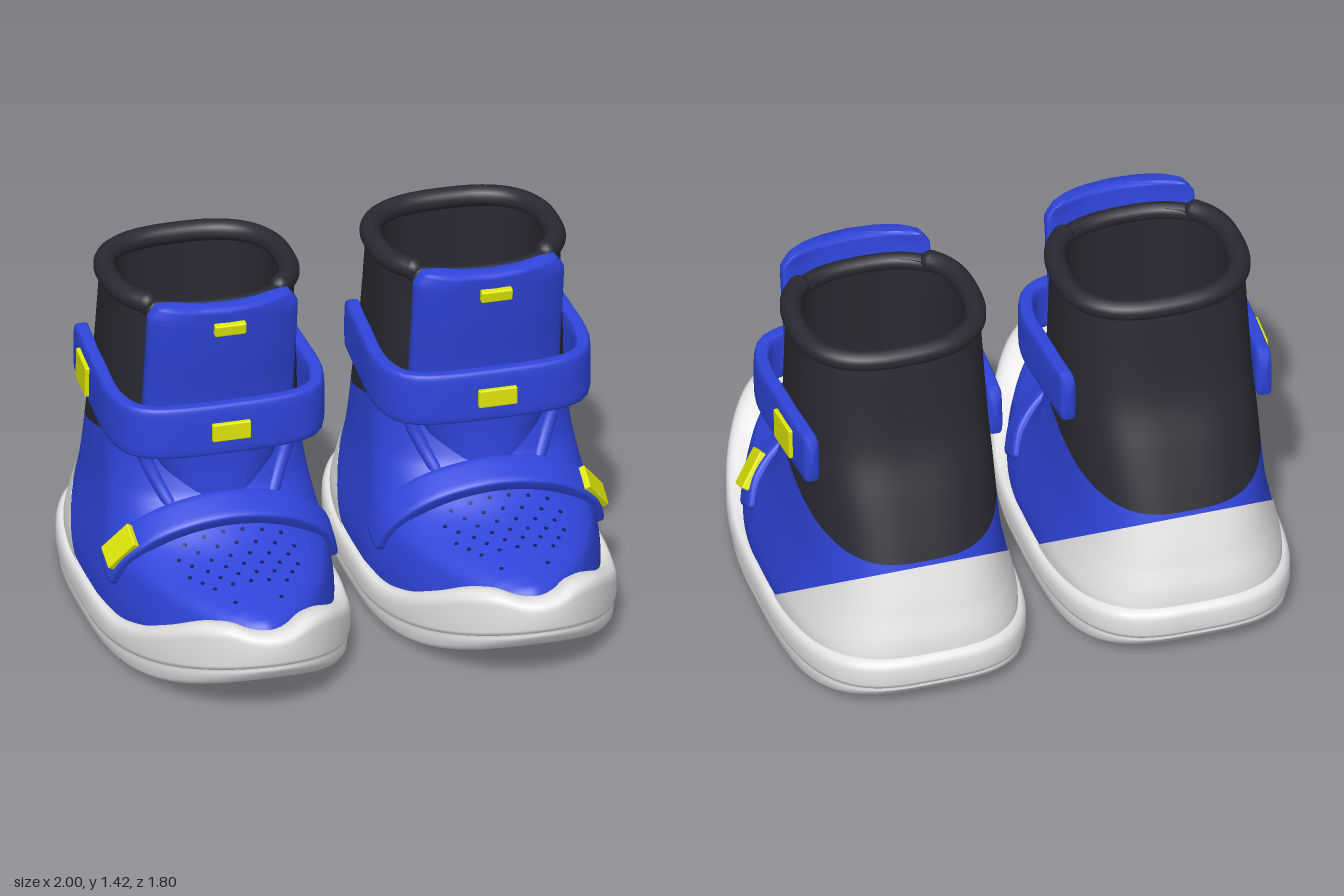
import * as THREE from 'three';
import { mergeGeometries } from 'three/addons/utils/BufferGeometryUtils.js';
import { RoundedBoxGeometry } from 'three/addons/geometries/RoundedBoxGeometry.js';

const V = (x, y, z) => new THREE.Vector3(x, y, z);
const spow = (v, p) => Math.sign(v) * Math.abs(v) ** p;

// Smooth monotone interpolation of a table whose first column is the key
function lookup(table, k) {
  k = THREE.MathUtils.clamp(k, table[0][0], table.at(-1)[0]);
  let i = 0;
  while (i < table.length - 2 && k > table[i + 1][0]) i++;
  const h = table[i + 1][0] - table[i][0], t = (k - table[i][0]) / h;
  return table[i].slice(1).map((_, n) => {
    const c = n + 1;
    const d = (j) => (table[j + 1][c] - table[j][c]) / (table[j + 1][0] - table[j][0]);
    const slope = (j) => {
      if (j === 0) return d(0);
      if (j === table.length - 1) return d(j - 1);
      const a = d(j - 1), b = d(j);
      return a * b > 0 ? (2 * a * b) / (a + b) : 0;
    };
    const t2 = t * t, t3 = t2 * t;
    return table[i][c] * (2 * t3 - 3 * t2 + 1) + table[i + 1][c] * (3 * t2 - 2 * t3)
      + h * (slope(i) * (t3 - 2 * t2 + t) + slope(i + 1) * (t3 - t2));
  });
}

// Surface grid: fn(row, column) gives a point; columns may wrap round
function grid(rows, cols, wrap, fn) {
  const n = wrap ? cols : cols + 1, pos = [], index = [];
  for (let i = 0; i <= rows; i++) for (let j = 0; j < n; j++) pos.push(...fn(i, j).toArray());
  for (let i = 0; i < rows; i++) for (let j = 0; j < cols; j++) {
    const a = i * n + j, b = i * n + ((j + 1) % n);
    index.push(a, b, b + n, a, b + n, a + n);
  }
  const g = new THREE.BufferGeometry();
  g.setAttribute('position', new THREE.Float32BufferAttribute(pos, 3));
  g.setIndex(index);
  g.computeVertexNormals();
  return g;
}

// Boot upper sections: y, back z, middle z, front z, half width, front and back roundness
const SECTIONS = [
  [0.05, -0.85, 0, 0.83, 0.445, 1.65, 3.2], [0.2, -0.86, 0, 0.84, 0.45, 1.62, 3.2],
  [0.3, -0.85, 0, 0.82, 0.437, 1.6, 3], [0.35, -0.83, 0, 0.78, 0.428, 1.6, 3],
  [0.39, -0.82, 0, 0.62, 0.42, 1.6, 3], [0.44, -0.805, -0.02, 0.42, 0.41, 1.65, 3],
  [0.5, -0.785, -0.06, 0.3, 0.4, 1.8, 3], [0.6, -0.75, -0.12, 0.17, 0.388, 2.1, 3],
  [0.8, -0.67, -0.2, 0.11, 0.372, 2.6, 3], [1.0, -0.59, -0.2, 0.12, 0.365, 2.7, 2.9],
  [1.37, -0.52, -0.2, 0.12, 0.355, 2.6, 2.6],
];
function oval(a, y, [zb, zm, zf, w, nf, nb]) {
  const c = Math.cos(a), p = 2 / (c > 0 ? nf : nb);
  return V(w * spow(Math.sin(a), p), y, zm + (c > 0 ? zf - zm : zm - zb) * spow(c, p));
}
const upper = (a, y) => oval(a, y, lookup(SECTIONS, y));

// Height at which the upper meets a boundary given as y = f(z)
function meet(a, f) {
  let lo = 0.06, hi = 1.37;
  for (let i = 0; i < 24; i++) {
    const m = (lo + hi) / 2;
    if (m < f(upper(a, m).z)) lo = m; else hi = m;
  }
  return lo;
}
function panel(lower, top, rows, a0 = 0, a1 = Math.PI * 2, cols = 112, scale = 1) {
  const angle = (j) => a0 + ((a1 - a0) * j) / cols;
  const ends = Array.from({ length: cols + 1 }, (_, j) => [meet(angle(j), lower), meet(angle(j), top)]);
  return grid(rows, cols, a1 - a0 > 6, (i, j) => {
    const p = upper(angle(j), THREE.MathUtils.lerp(...ends[j], i / rows));
    return V(p.x * scale, p.y, p.z * scale);
  });
}

// Point on top of the toe box at x, z
function toeTop(x, z) {
  let lo = 0.2, hi = 0.8;
  for (let i = 0; i < 20; i++) {
    const y = (lo + hi) / 2, [, zm, zf, w, nf] = lookup(SECTIONS, y);
    const inside = Math.abs(x / w) ** nf + Math.max(0, (z - zm) / (zf - zm)) ** nf < 1;
    if (inside) lo = y; else hi = y;
  }
  return V(x, lo, z);
}

// Rounded band swept along a path; the band's width runs along the "up" direction
function band(points, up, half, thick, bend = 0, cols = 32) {
  const curve = new THREE.CatmullRomCurve3(points.map((p) => V(...p)));
  const frame = (t) => {
    const T = curve.getTangentAt(t), U = up.clone().addScaledVector(T, -up.dot(T)).normalize();
    return { P: curve.getPointAt(t), T, U, N: U.clone().cross(T) };
  };
  const rows = 52;
  const geo = grid(rows, cols, true, (i, j) => {
    const t = [0, 0, 0.012][i] ?? [1, 1, 0.988][rows - i] ?? (i - 2) / (rows - 4);
    const s = [0.001, 0.86][Math.min(i, rows - i)] ?? 1;
    const { P, U, N } = frame(t), a = (j / cols) * Math.PI * 2;
    const u = s * spow(Math.sin(a), 0.4);
    return P.addScaledVector(U, half(t) * u).addScaledVector(N, thick * s * spow(Math.cos(a), 0.4) - bend * u * u);
  });
  // Small badge lying on the band
  const badge = (t, w, h) => {
    const { P, T, U, N } = frame(t);
    const m = new THREE.Matrix4().makeBasis(T.clone().negate(), U, N).setPosition(P.addScaledVector(N, thick));
    return new RoundedBoxGeometry(w, h, 0.03, 2, 0.006).applyMatrix4(m);
  };
  return { geo, badge };
}

// Sole heights along the length
const SOLE_TOP = [[-0.9, 0.225], [-0.6, 0.18], [-0.3, 0.155], [0.2, 0.155], [0.4, 0.19], [0.6, 0.265], [0.8, 0.35], [0.85, 0.358], [0.9, 0.33]];
const soleTop = (z) => lookup(SOLE_TOP, z)[0];
const soleBottom = (z) => (z > 0.1 ? 0.17 * ((z - 0.1) / 0.8) ** 2.5 : z < -0.5 ? 0.07 * ((z + 0.5) / -0.4) ** 2 : 0);
const groove = (z) => 0.05 + (z > 0 ? 0.155 : 0.05) * (z / 0.9) ** 2;
const SOLE_ROWS = [
  [0.001, soleBottom], [0.3, soleBottom], [0.6, soleBottom], [0.8, soleBottom], [0.92, soleBottom], [0.95, soleBottom],
  [0.975, (z) => soleBottom(z) + 0.012], [0.985, (z) => groove(z) - 0.006], [0.972, groove], [0.988, (z) => groove(z) + 0.006],
  [1, (z) => groove(z) + 0.025], [1, (z) => soleTop(z) - 0.035], [0.99, (z) => soleTop(z) - 0.012],
  [0.968, soleTop], [0.93, (z) => soleTop(z) + 0.003], [0.88, (z) => soleTop(z) - 0.01], [0.74, (z) => soleTop(z) - 0.06],
];

function bootParts() {
  const mat = (name, color, side = THREE.FrontSide) => Object.assign(new THREE.MeshStandardMaterial({ color, side }), { name });
  const blue = mat('blue', 0x2f45da), black = mat('black', 0x292a32, THREE.DoubleSide), grey = mat('light grey', 0xe6e6e6);
  const yellow = mat('yellow', 0xe4ec08), navy = mat('navy', 0x141a55), tread = mat('tread grey', 0x6a6a6a);
  const parts = [], add = (name, geo, m) => parts.push([name, geo, m]);

  // Sole
  add('sole', grid(SOLE_ROWS.length - 1, 112, true, (i, j) => {
    const [s, f] = SOLE_ROWS[i];
    const p = oval((j / 112) * Math.PI * 2, 0, [-0.9, 0, 0.9, 0.48, 2, 3.3]).multiplyScalar(s);
    return p.setY(f(p.z / (i > 5 ? s : 1)));
  }), grey);

  // Upper: heel cup, foot and shaft share one surface; the foot tucks under the cup
  const hidden = (z) => soleTop(z) - 0.07;
  const heelEdge = (z) => Math.max(hidden(z), 0.17 - 0.82 * (z + 0.28));
  const footEdge = (z) => Math.max(hidden(z), heelEdge(z) - 0.04);
  const cuffEdge = (z) => Math.min(0.8, 0.8 + 0.293 * z);
  add('heelCup', panel(hidden, heelEdge, 10, Math.PI / 2, Math.PI * 1.5, 80, 1.012), grey);
  add('foot', panel(footEdge, (z) => Math.max(cuffEdge(z), footEdge(z)), 30), blue);
  add('shaft', panel(cuffEdge, () => 1.37, 14), black);

  // Lining and insole
  const inner = [-0.485, -0.2, 0.085, 0.305, 2.5, 2.6];
  add('lining', grid(4, 64, true, (i, j) => oval((j / 64) * Math.PI * 2, 1.37 - i * 0.29, inner)), black);
  add('insole', grid(1, 64, true, (i, j) => oval((j / 64) * Math.PI * 2, 0.22, inner).multiply(V(1 - i * 0.999, 1, 1 - i * 0.999))), grey);

  // Padded collar: thick roll round the back, thinner behind the tongue
  const rim = (a) => oval(a, 1.365, [-0.5, -0.2, 0.105, 0.34, 2.5, 2.6]);
  const roll = (a0, a1, r, y) => {
    const pts = Array.from({ length: 33 }, (_, i) => rim(a0 + ((a1 - a0) * i) / 32).setY(y));
    const caps = [pts[0], pts[32]].map((p) => new THREE.SphereGeometry(r, 14, 10).translate(p.x, p.y, p.z));
    return mergeGeometries([new THREE.TubeGeometry(new THREE.CatmullRomCurve3(pts), 80, r, 14), ...caps]);
  };
  add('collar', roll(0.8, Math.PI * 2 - 0.8, 0.041, 1.363), black);
  add('collarFront', roll(-0.8, 0.8, 0.034, 1.345), black);

  // Tongue and the piping beside it
  const { smoothstep } = THREE.MathUtils;
  const tongue = band([[0, 0.55, 0.15], [0, 0.75, 0.14], [0, 1, 0.165], [0, 1.2, 0.2], [0, 1.41, 0.23]], V(1, 0, 0),
    (t) => 0.17 + 0.122 * smoothstep(t, 0, 0.4) - 0.035 * smoothstep(t, 0.93, 1), 0.036, 0.07, 48);
  add('tongue', tongue.geo, blue);
  add('piping', mergeGeometries([-1, 1].map((s) => new THREE.TubeGeometry(new THREE.CatmullRomCurve3(
    [V(s * 0.31, 0.83, 0.06), V(s * 0.275, 0.72, 0.07), V(s * 0.235, 0.63, 0.1), V(s * 0.2, 0.56, 0.14)]), 20, 0.026, 10))), blue);

  // Straps
  const ankle = band([[0.37, 0.945, -0.5], [0.388, 0.93, -0.2], [0.388, 0.915, 0.08], [0.325, 0.91, 0.2], [0, 0.91, 0.245],
    [-0.325, 0.91, 0.2], [-0.388, 0.915, 0.08], [-0.388, 0.93, -0.2], [-0.375, 0.94, -0.42]], V(0, 1, 0), () => 0.105, 0.03);
  add('ankleStrap', ankle.geo, blue);
  const instep = band([[0.423, 0.29, 0.11], [0.382, 0.4, 0.16], [0.245, 0.51, 0.21], [0, 0.56, 0.23],
    [-0.245, 0.51, 0.21], [-0.382, 0.4, 0.16], [-0.423, 0.29, 0.11]], V(0, 0.45, -0.9), () => 0.068, 0.032);
  add('instepStrap', instep.geo, blue);

  // Yellow badges
  add('badges', mergeGeometries([
    ankle.badge(0.105, 0.165, 0.125), instep.badge(0.12, 0.155, 0.105),
    new RoundedBoxGeometry(0.15, 0.072, 0.03, 2, 0.006).translate(0, 0.908, 0.278),
    new RoundedBoxGeometry(0.122, 0.047, 0.03, 2, 0.006).rotateX(0.15).translate(0, 1.328, 0.262),
  ]), yellow);

  // Vent holes on the toe box: z, count, spacing
  const holes = [];
  const holeRows = [[0.3, 6, 0.075], [0.35, 7, 0.075], [0.4, 6, 0.075], [0.45, 7, 0.07], [0.5, 6, 0.07], [0.55, 5, 0.07], [0.65, 2, 0.18]];
  for (const [z, n, gap] of holeRows) {
    for (let i = 0; i < n; i++) {
      const x = (i - (n - 1) / 2) * gap, p = toeTop(x, z), e = 0.01;
      const normal = toeTop(x, z + e).sub(toeTop(x, z - e)).cross(toeTop(x + e, z).sub(toeTop(x - e, z))).normalize();
      const q = new THREE.Quaternion().setFromUnitVectors(V(0, 1, 0), normal);
      holes.push(new THREE.CylinderGeometry(0.008, 0.008, 0.006, 8).applyQuaternion(q).translate(p.x, p.y, p.z));
    }
  }
  add('ventHoles', mergeGeometries(holes), navy);

  // Tread lines under the sole: straight middle bars with slanted ends, and a centre ring
  const lines = [];
  for (let z = -0.68; z < 0.62; z += 0.085) {
    const w = 0.27 * Math.sqrt(1 - (z / 0.95) ** 2), dir = Math.sign(z + 0.08);
    const pitch = Math.atan2(soleBottom(z + 0.01) - soleBottom(z - 0.01), 0.02);
    const bar = (len, yaw, x, dz) => lines.push(new THREE.BoxGeometry(len, 0.006, 0.01)
      .rotateY(yaw).rotateX(-pitch).translate(x, soleBottom(z + dz) + 0.001, z + dz));
    if (Math.abs(z + 0.08) > 0.16) bar(w, 0, 0, 0);
    for (const s of [-1, 1]) bar(0.13, s * dir * 0.6, s * (w / 2 + 0.07), -dir * 0.037);
  }
  lines.push(new THREE.TorusGeometry(0.1, 0.007, 4, 8).rotateZ(Math.PI / 8).rotateX(Math.PI / 2).scale(1, 0.4, 1).translate(0, 0.001, -0.08));
  add('treadLines', mergeGeometries(lines), tread);
  return parts;
}

// Mirror a geometry in x and keep its faces outward
function mirrored(geo) {
  const g = geo.clone().scale(-1, 1, 1);
  const swap = (array, p, q) => { [array[p], array[q]] = [array[q], array[p]]; };
  if (g.index) {
    for (let i = 0; i < g.index.count; i += 3) swap(g.index.array, i, i + 1);
  } else {
    for (const { array, count, itemSize: s } of Object.values(g.attributes)) {
      for (let i = 0; i < count; i += 3) for (let k = 0; k < s; k++) swap(array, i * s + k, (i + 1) * s + k);
    }
  }
  return g;
}

export function createModel() {
  const model = new THREE.Group(), parts = bootParts();
  model.name = 'boots';
  for (const side of [1, -1]) {
    const boot = new THREE.Group();
    boot.name = side > 0 ? 'leftBoot' : 'rightBoot';
    boot.position.x = side * 0.52;
    for (const [name, geo, material] of parts) {
      const mesh = new THREE.Mesh(side > 0 ? geo : mirrored(geo), material);
      mesh.name = name;
      boot.add(mesh);
    }
    model.add(boot);
  }
  return model;
}
